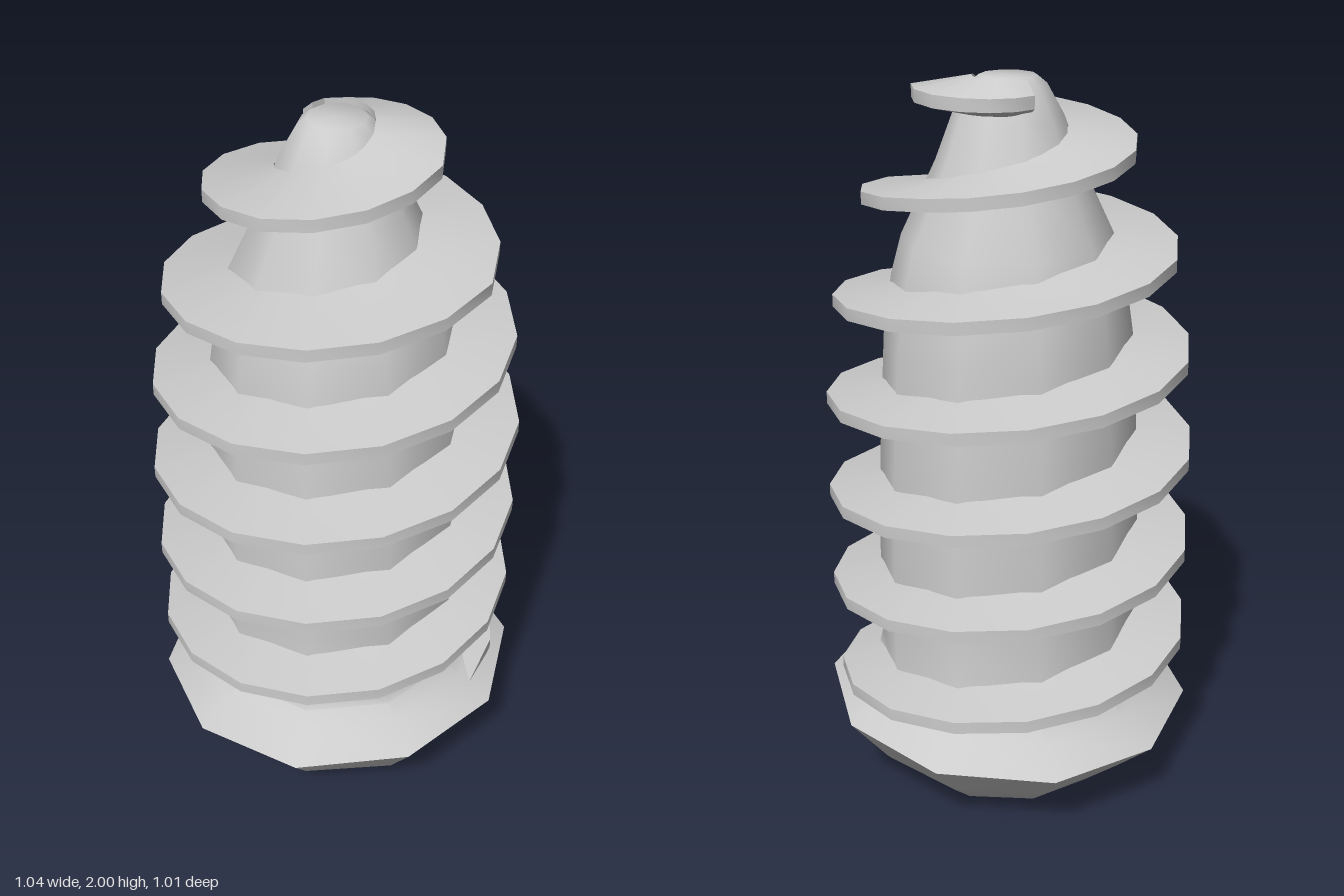
import * as THREE from 'three';
import { toCreasedNormals } from 'three/addons/utils/BufferGeometryUtils.js';

const material = new THREE.MeshStandardMaterial({ color: 0xcccccc });

// Linear interpolation through [position, value] keys
function sample(keys, t) {
  if (t <= keys[0][0]) return keys[0][1];
  for (let i = 1; i < keys.length; i++) {
    const [t0, v0] = keys[i - 1], [t1, v1] = keys[i];
    if (t <= t1) return THREE.MathUtils.lerp(v0, v1, (t - t0) / (t1 - t0));
  }
  return keys[keys.length - 1][1];
}

// Shank radius by height
const SHANK = [
  [0.36, 0.37], [0.6, 0.37], [0.95, 0.36], [1.3, 0.34], [1.47, 0.315],
  [1.58, 0.285], [1.78, 0.19], [1.9, 0.145], [1.98, 0.1],
];

// Ten-sided body: socket, head, tapering shank and blunt tip in one profile
function createBody() {
  const profile = [
    [0, 0.1], [0.13, 0.09], [0.146, 0],
    [0.295, 0], [0.405, 0.095], [0.52, 0.23], [0.42, 0.29], [0.38, 0.32],
    ...SHANK.map(([y, r]) => [r, y]),
    [0.075, 2], [0, 2],
  ].map(([r, y]) => new THREE.Vector2(r, y));
  const geometry = new THREE.LatheGeometry(profile, 10, Math.PI / 2);

  // The rim of the head follows the thread and leans up towards +x
  const p = geometry.attributes.position;
  for (let i = 0; i < p.count; i++) {
    const y = p.getY(i);
    if (y > 0.2 && y < 0.4) p.setY(i, y + 0.06 * p.getX(i));
  }
  const mesh = new THREE.Mesh(toCreasedNormals(geometry, 0.75), material);
  mesh.name = 'screwBody';
  mesh.position.x = -0.005;
  return mesh;
}

// Right-handed helical blade with a wedge section, sixteen steps per turn
function createThread() {
  const steps = 16, turns = 6.4375, pitch = 0.275;
  const outer = [
    [0, 0.46], [0.125, 0.49], [0.25, 0.505], [3, 0.505], [3.5, 0.492], [4, 0.483],
    [4.5, 0.45], [5, 0.445], [5.25, 0.335], [5.75, 0.33], [6, 0.297],
    [6.25, 0.195], [6.4375, 0.13],
  ];
  const positions = [], index = [];
  const count = Math.round(turns * steps);
  for (let i = 0; i <= count; i++) {
    const u = i / steps, a = u * Math.PI * 2;
    const y = Math.min(0.28 + pitch * u, 1.95);
    const r = sample(outer, u);
    const inner = Math.min(sample(SHANK, y) * 0.85, r - 0.04);
    const section = [[inner, y - 0.045], [r, y - 0.017], [r, y + 0.017], [inner, y + 0.05]];
    for (const [d, h] of section) positions.push(d * Math.cos(a), h, -d * Math.sin(a));
    if (i === count) continue;
    for (let k = 0; k < 4; k++) {
      const a0 = i * 4 + k, b0 = i * 4 + (k + 1) % 4;
      index.push(a0, a0 + 4, b0, b0, a0 + 4, b0 + 4);
    }
  }
  // End caps
  const e = count * 4;
  index.push(0, 1, 2, 0, 2, 3, e, e + 2, e + 1, e, e + 3, e + 2);

  const geometry = new THREE.BufferGeometry();
  geometry.setAttribute('position', new THREE.Float32BufferAttribute(positions, 3));
  geometry.setIndex(index);
  const mesh = new THREE.Mesh(toCreasedNormals(geometry, 0.6), material);
  mesh.name = 'screwThread';
  mesh.position.x = -0.013;
  return mesh;
}

export function createModel() {
  const group = new THREE.Group();
  group.name = 'screw';
  group.add(createBody(), createThread());
  return group;
}
